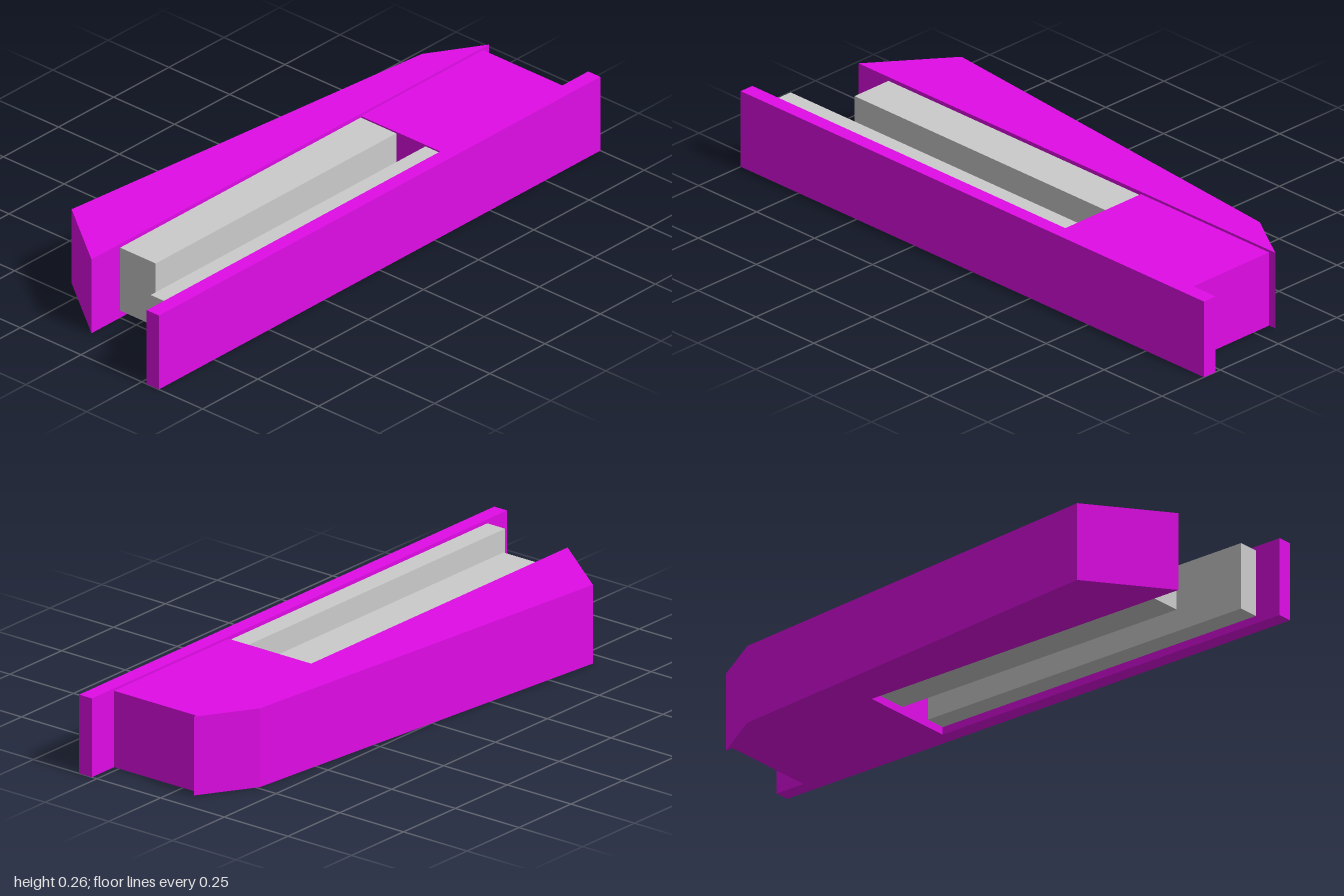
import * as THREE from 'three';

export function createModel() {
  const group = new THREE.Group();
  const magenta = new THREE.MeshStandardMaterial({ color: 0xe00ce6 });
  const grey = new THREE.MeshStandardMaterial({ color: 0xcccccc });

  // Box given by its minimum and maximum on each axis
  function addBox(name, material, [x0, x1], [y0, y1], [z0, z1]) {
    const mesh = new THREE.Mesh(new THREE.BoxGeometry(x1 - x0, y1 - y0, z1 - z0), material);
    mesh.position.set((x0 + x1) / 2, (y0 + y1) / 2, (z0 + z1) / 2);
    mesh.name = name;
    group.add(mesh);
  }

  // Long front plate and the block joining it to the back body
  addBox('frontPlate', magenta, [-1, 1], [0, 0.258], [0.27, 0.32]);
  addBox('connectingBlock', magenta, [0.34, 0.893], [0, 0.25], [-0.066, 0.27]);

  // Grey rails facing each other across the open slot
  addBox('frontRail', grey, [-0.905, 0.34], [0.025, 0.245], [0.2, 0.27]);
  addBox('backRail', grey, [-0.75, 0.34], [0.025, 0.245], [-0.066, 0.08]);

  // Tapered back body: plan outline (x, -z) extruded upwards
  const plan = [[-0.88, 0.066], [0.92, 0.066], [0.74, 0.178], [-0.69, 0.32]];
  const shape = new THREE.Shape(plan.map(([x, y]) => new THREE.Vector2(x, y)));
  const bodyGeometry = new THREE.ExtrudeGeometry(shape, { depth: 0.258, bevelEnabled: false });
  bodyGeometry.rotateX(-Math.PI / 2);
  const body = new THREE.Mesh(bodyGeometry, magenta);
  body.name = 'backBody';
  group.add(body);

  return group;
}
